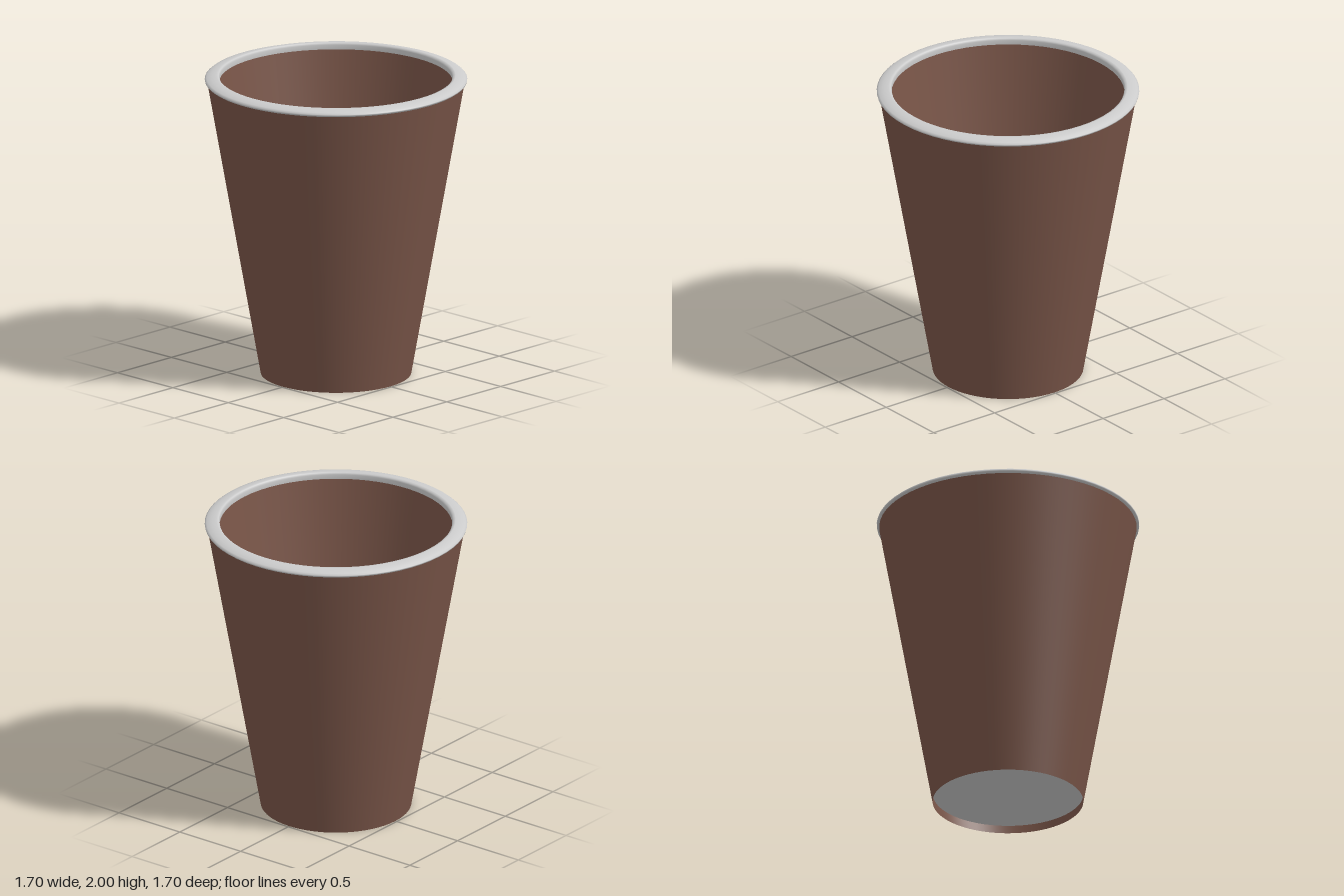
import * as THREE from 'three';

const SEGMENTS = 64;
const profile = (pairs) => pairs.map(([r, y]) => new THREE.Vector2(r, y));

export function createModel() {
  const group = new THREE.Group();
  group.name = 'paperCup';

  const brown = new THREE.MeshStandardMaterial({ color: 0x795548, side: THREE.DoubleSide });
  const grey = new THREE.MeshStandardMaterial({ color: 0xcccccc, side: THREE.DoubleSide });

  const add = (name, geometry, material) => {
    const mesh = new THREE.Mesh(geometry, material);
    mesh.name = name;
    group.add(mesh);
    return mesh;
  };

  // Thin tapered wall, open at both ends
  add('wall', new THREE.CylinderGeometry(0.836, 0.488, 1.97, SEGMENTS, 4, true), brown)
    .position.y = 0.985;

  // Rolled lip, a closed flattened ring that overhangs the inside
  add('rim', new THREE.LatheGeometry(profile([
    [0.755, 1.955], [0.79, 1.95], [0.835, 1.957], [0.848, 1.966], [0.85, 1.975],
    [0.838, 1.985], [0.81, 1.994], [0.775, 2], [0.76, 1.997], [0.753, 1.985], [0.755, 1.955],
  ]), SEGMENTS), grey);

  // Floor disc, slightly recessed and a touch smaller than the wall
  const floor = add('floor', new THREE.CircleGeometry(0.487, SEGMENTS), grey);
  floor.rotation.x = -Math.PI / 2;
  floor.position.set(-0.003, 0.05, 0.004);

  return group;
}
